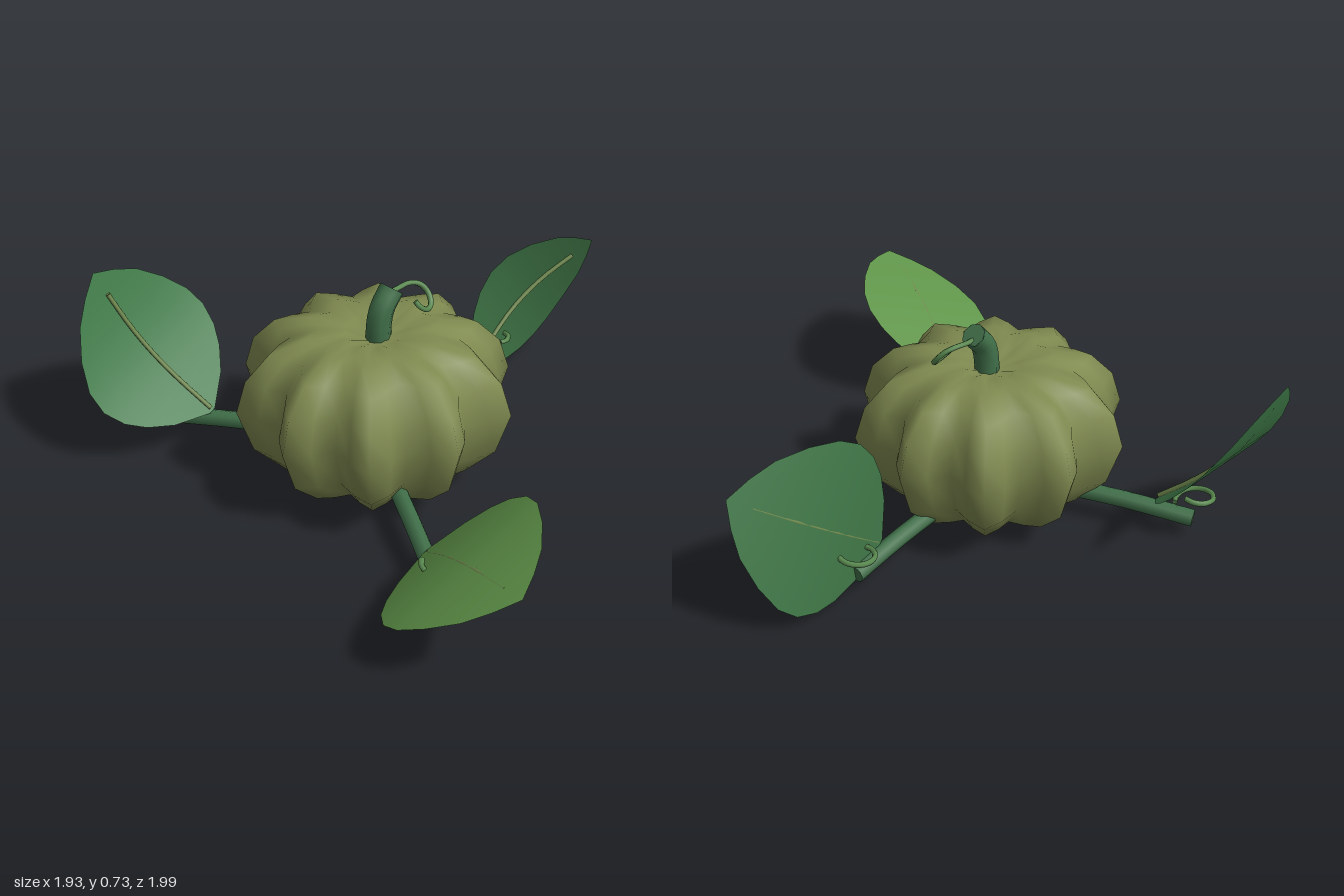
import * as THREE from 'three';
import { mergeVertices } from 'three/addons/utils/BufferGeometryUtils.js';

const V = (x, y, z) => new THREE.Vector3(x, y, z);
const paint = (color) => new THREE.MeshStandardMaterial({ color, side: THREE.DoubleSide });
const SKIN = paint(0x7f8a50), VINE = paint(0x41704a), CURL = paint(0x5a8a50), VEIN = paint(0x728c50);
const CENTER = V(-0.155, 0, -0.06);

function add(parent, name, geometry, material) {
  const mesh = new THREE.Mesh(geometry, material);
  mesh.name = name;
  parent.add(mesh);
  return mesh;
}

// Tube along a smooth path, closed by discs at both ends
function cappedTube(parent, name, points, radius, sides, steps, material) {
  const path = new THREE.CatmullRomCurve3(points);
  const group = new THREE.Group();
  group.name = name;
  parent.add(group);
  add(group, name + 'Body', new THREE.TubeGeometry(path, steps, radius, sides), material);
  for (const t of [0, 1]) {
    const cap = add(group, name + 'End', new THREE.CircleGeometry(radius, sides), material);
    cap.position.copy(path.getPoint(t));
    cap.lookAt(cap.position.clone().addScaledVector(path.getTangent(t), t ? 1 : -1));
  }
  return group;
}

// Ten-lobed body: a lathe whose radius swells and shrinks around the axis
function pumpkinBody() {
  const profile = [[0, 0.005], [0.2, 0], [0.33, 0.055], [0.44, 0.165], [0.492, 0.33],
    [0.455, 0.45], [0.37, 0.54], [0.24, 0.575], [0.12, 0.565], [0, 0.53]];
  let g = new THREE.LatheGeometry(profile.map(([r, y]) => new THREE.Vector2(r, y)), 40);
  const p = g.attributes.position;
  for (let i = 0; i < p.count; i++) {
    const x = p.getX(i), z = p.getZ(i);
    const k = (1 + 0.125 * Math.cos(10 * Math.atan2(z, x))) / 1.125;
    p.setX(i, x * k);
    p.setZ(i, z * k);
  }
  g.deleteAttribute('normal');
  g.deleteAttribute('uv');
  g = mergeVertices(g, 1e-4);
  g.computeVertexNormals();
  return g;
}

// Leaf half width by position along the midrib
const OUTLINE = [[0, 0.015], [0.1, 0.145], [0.2, 0.225], [0.3, 0.275], [0.42, 0.302], [0.55, 0.292],
  [0.7, 0.24], [0.84, 0.165], [0.93, 0.085], [1, 0.002]];

// Ovate leaf from base to tip; bend arches it along its upper normal
function leaf(parent, { base, tip, side, bend, veinLift, color }) {
  const group = new THREE.Group();
  group.name = 'leaf';
  parent.add(group);
  const dir = tip.clone().sub(base).normalize();
  const s = side.clone().addScaledVector(dir, -side.dot(dir)).normalize();
  const n = dir.clone().cross(s);
  const at = (t, u, lift = 0) => base.clone().lerp(tip, t)
    .addScaledVector(s, u)
    .addScaledVector(n, bend * Math.sin(Math.PI * t) + lift);

  const columns = 6, pos = [], index = [];
  OUTLINE.forEach(([t, w], row) => {
    for (let c = 0; c <= columns; c++) {
      pos.push(...at(t, w * (2 * c / columns - 1)).toArray());
      if (row && c) {
        const d = row * (columns + 1) + c, b = d - columns - 1;
        index.push(b - 1, d - 1, b, b, d - 1, d);
      }
    }
  });
  const g = new THREE.BufferGeometry();
  g.setAttribute('position', new THREE.Float32BufferAttribute(pos, 3));
  g.setIndex(index);
  g.computeVertexNormals();
  add(group, 'leafBlade', g, paint(color));

  const rib = [0.02, 0.25, 0.45, 0.65, 0.86].map((t) => at(t, 0, veinLift));
  cappedTube(group, 'leafVein', rib, 0.009, 6, 10, VEIN);
}

// Loose curl lying around the end of a vine
function curl(parent, end) {
  const out = end.clone().sub(CENTER).setY(0).normalize();
  const start = Math.atan2(out.z, out.x) + Math.PI * 0.9;
  const points = [];
  for (let i = 0; i <= 12; i++) {
    const a = start + i / 12 * Math.PI * 1.75;
    const r = 0.07 - 0.012 * i / 12;
    points.push(V(end.x + Math.cos(a) * r, 0.14 + 0.045 * i / 12, end.z + Math.sin(a) * r));
  }
  cappedTube(parent, 'vineCurl', points, 0.01, 6, 28, CURL);
}

export function createModel() {
  const model = new THREE.Group();
  model.name = 'pumpkinPlant';

  add(model, 'pumpkinBody', pumpkinBody(), SKIN).position.copy(CENTER);

  // Bent stem with a spiral tendril
  cappedTube(model, 'stem', [V(-0.14, 0.51, -0.055), V(-0.138, 0.59, -0.053), V(-0.122, 0.65, -0.05),
    V(-0.075, 0.705, -0.045)], 0.044, 8, 8, VINE);
  cappedTube(model, 'stemTendril', [V(-0.08, 0.69, -0.05), V(-0.04, 0.69, -0.045), V(0.005, 0.692, -0.035),
    V(0.04, 0.68, -0.015), V(0.055, 0.65, 0.01), V(0.04, 0.62, 0.035), V(0.01, 0.613, 0.043),
    V(-0.015, 0.63, 0.03), V(-0.022, 0.65, 0.015)], 0.01, 6, 32, CURL);

  // Three vines, each with a curl and a leaf
  const branches = [
    { end: V(0.57, 0.07, -0.06), base: V(0.43, 0.115, -0.05), tip: V(0.94, 0.5, 0.135),
      side: V(-0.6, 0.76, 0.06), bend: -0.06, veinLift: 0.008, color: 0x3f7546 },
    { end: V(-0.62, 0.07, 0.56), base: V(-0.545, 0.12, 0.45), tip: V(-0.81, 0.39, 0.99),
      side: V(0.9, 0.38, 0.25), bend: 0.045, veinLift: -0.008, color: 0x5f9349 },
    { end: V(-0.42, 0.07, -0.77), base: V(-0.38, 0.12, -0.64), tip: V(-0.55, 0.65, -1),
      side: V(-0.95, -0.24, 0.1), bend: -0.06, veinLift: 0.008, color: 0x3f7a48 },
  ];
  for (const b of branches) {
    const start = CENTER.clone().lerp(b.end, 0.35).setY(0.1);
    const middle = start.clone().lerp(b.end, 0.5).setY(0.093);
    cappedTube(model, 'vine', [start, middle, b.end], 0.031, 8, 6, VINE);
    curl(model, b.end);
    leaf(model, b);
  }
  return model;
}
